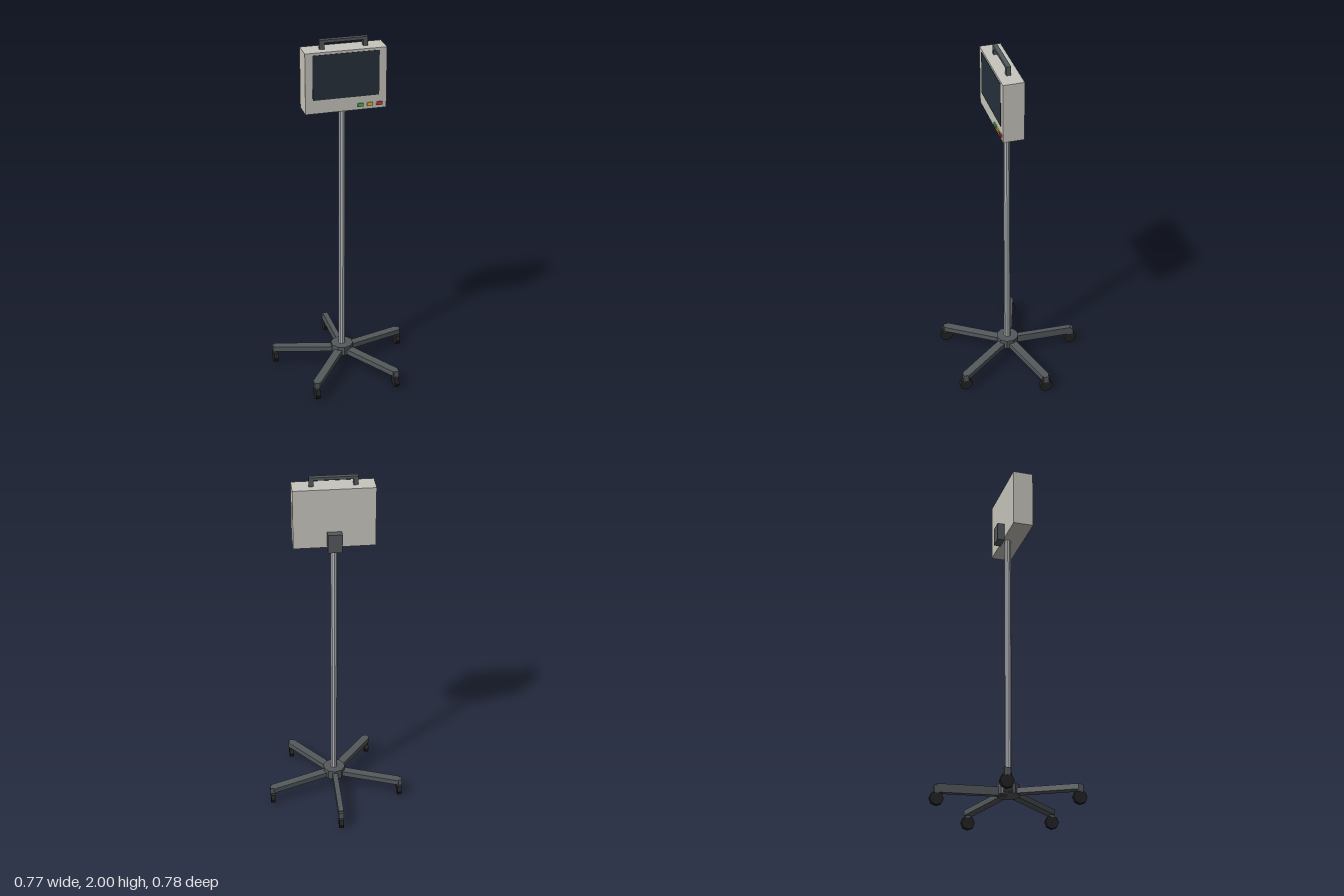
import * as THREE from 'three';

const mat = (color) => new THREE.MeshStandardMaterial({ color, flatShading: true });

export function createModel() {
  const model = new THREE.Group();
  const shell = mat(0xc8c6be), dark = mat(0x54595c), steel = mat(0xb4b8bc), rubber = mat(0x222224);
  const AXIS_Z = 0.037; // pole sits slightly forward of the footprint centre

  const add = (name, geometry, material, x, y, z, parent = model) => {
    const mesh = new THREE.Mesh(geometry, material);
    mesh.name = name;
    mesh.position.set(x, y, z);
    parent.add(mesh);
    return mesh;
  };
  // Box from its min and max corners
  const box = (name, material, a, b, parent = model) =>
    add(name, new THREE.BoxGeometry(b[0] - a[0], b[1] - a[1], b[2] - a[2]), material,
      (a[0] + b[0]) / 2, (a[1] + b[1]) / 2, (a[2] + b[2]) / 2, parent);

  // Five-legged rolling base
  const base = new THREE.Group();
  base.name = 'base';
  model.add(base);
  add('hub', new THREE.CylinderGeometry(0.064, 0.064, 0.055, 10), dark, 0, 0.1145, AXIS_Z, base);
  const radius = 0.39;
  for (let i = 0; i < 5; i++) {
    const angle = Math.PI + (i * Math.PI * 2) / 5;
    const dx = Math.sin(angle), dz = Math.cos(angle);
    const inner = new THREE.Vector3(dx * 0.01, 0.108, AXIS_Z + dz * 0.01);
    const outer = new THREE.Vector3(dx * radius, 0.092, AXIS_Z + dz * radius);
    // The rear leg stands on edge, the others lie flat
    const [w, h] = i === 0 ? [0.03, 0.047] : [0.047, 0.03];
    const leg = add('leg', new THREE.BoxGeometry(w, h, inner.distanceTo(outer)), dark, 0, 0, 0, base);
    leg.position.copy(inner).lerp(outer, 0.5);
    leg.lookAt(outer.clone().multiplyScalar(2).sub(inner));

    // Caster: square bracket with an eight-sided wheel rolling along z
    const caster = new THREE.Group();
    caster.name = 'caster';
    caster.position.set(outer.x, 0, outer.z);
    base.add(caster);
    box('casterBracket', dark, [-0.015, 0.066, -0.015], [0.015, 0.107, 0.015], caster);
    const wheel = add('wheel', new THREE.CylinderGeometry(0.038, 0.038, 0.025, 8), rubber, 0, 0.038, 0, caster);
    wheel.rotation.z = Math.PI / 2;
  }

  // Pole
  add('pole', new THREE.CylinderGeometry(0.019, 0.019, 1.51, 10), steel, 0, 0.885, AXIS_Z);

  // Monitor head
  const monitor = new THREE.Group();
  monitor.name = 'monitor';
  model.add(monitor);
  box('housing', shell, [-0.22, 1.615, 0.005], [0.22, 1.95, 0.12], monitor);
  box('screen', mat(0x26303a), [-0.18, 1.69, 0.11], [0.18, 1.937, 0.122], monitor);
  box('mountBracket', dark, [-0.039, 1.6, -0.035], [0.039, 1.705, 0.006], monitor);
  [[0.078, 0x4caf50], [0.13, 0xe0b82e], [0.181, 0xd03a3a]].forEach(([x, color]) =>
    box('button', mat(color), [x - 0.016, 1.633, 0.115], [x + 0.016, 1.651, 0.127], monitor));

  // Carry handle
  const handle = new THREE.Group();
  handle.name = 'handle';
  monitor.add(handle);
  box('handleGrip', dark, [-0.13, 1.984, 0.05], [0.13, 2, 0.075], handle);
  for (const s of [-1, 1]) {
    add('handlePost', new THREE.BoxGeometry(0.025, 0.04, 0.025), dark, s * 0.1175, 1.965, 0.0625, handle);
  }
  return model;
}
